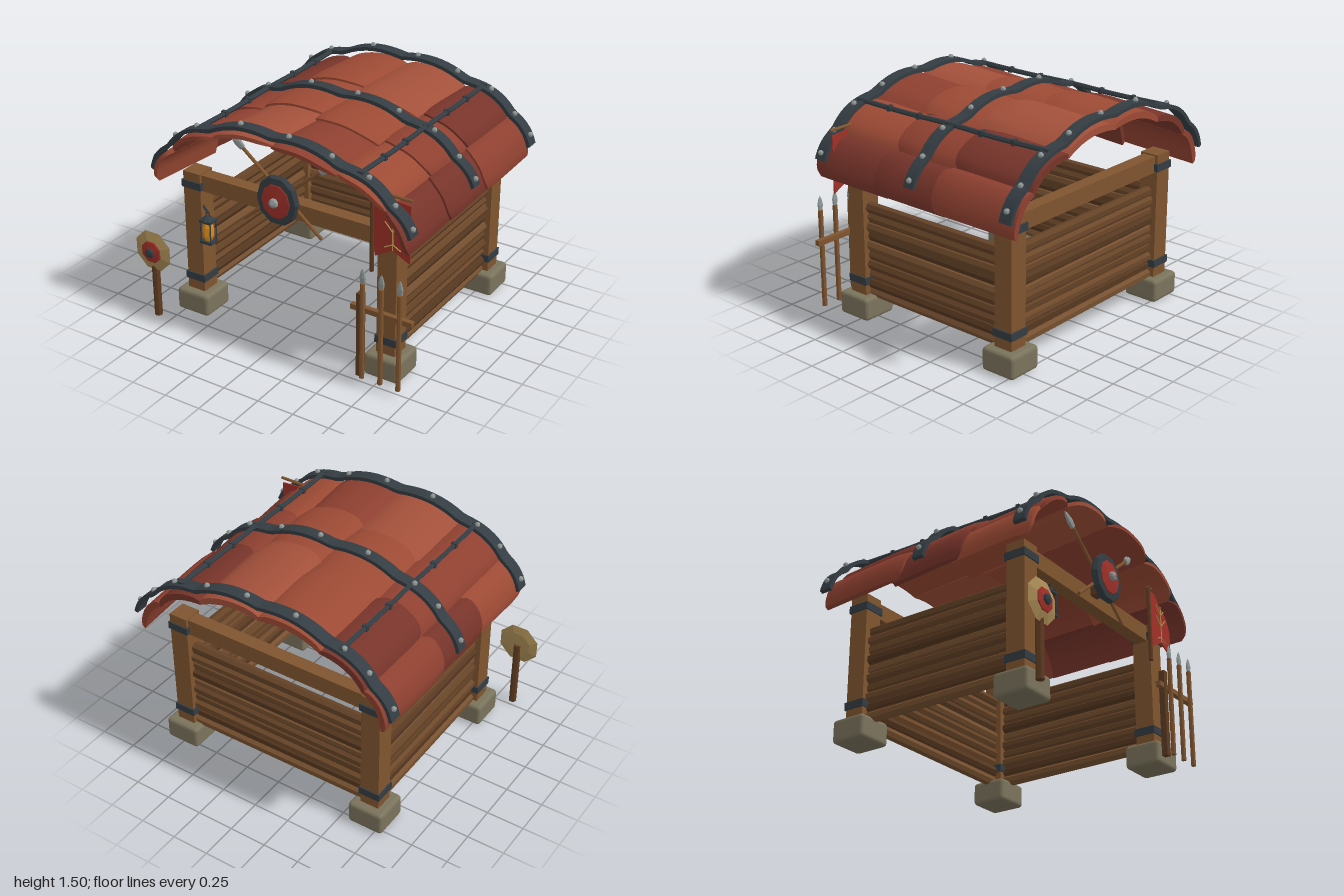
import * as THREE from 'three';
import { RoundedBoxGeometry } from 'three/addons/geometries/RoundedBoxGeometry.js';

const V = (x, y, z) => new THREE.Vector3(x, y, z);
const mat = (color, flat = true) => new THREE.MeshStandardMaterial({ color, flatShading: flat, side: THREE.DoubleSide });
const wood = mat(0x80552f), darkWood = mat(0x5e3c22), pale = mat(0xa88a55), iron = mat(0x343d43);
const stone = mat(0x7a735c), red = mat(0xa03028), steel = mat(0x8f9896), gold = mat(0xb99a50), glow = mat(0xe0901c);
const planks = [0x765030, 0x644226, 0x6d482a, 0x563820].map(c => mat(c));
const tiles = [0x8e4030, 0x77342a, 0x9c4a34, 0xa2503a].map(c => mat(c, false));

export function createModel() {
  const root = new THREE.Group();
  const add = (name, geo, m, x = 0, y = 0, z = 0, parent = root) => {
    const mesh = new THREE.Mesh(geo, m);
    mesh.name = name;
    mesh.position.set(x, y, z);
    parent.add(mesh);
    return mesh;
  };
  const group = name => {
    const g = new THREE.Group();
    g.name = name;
    root.add(g);
    return g;
  };
  const box = (w, h, d) => new THREE.BoxGeometry(w, h, d);
  // round bar between two points
  const rod = (name, a, b, r, m, parent = root, sides = 8) => {
    const mesh = add(name, new THREE.CylinderGeometry(r, r, a.distanceTo(b), sides), m, 0, 0, 0, parent);
    mesh.position.copy(a).lerp(b, 0.5);
    mesh.quaternion.setFromUnitVectors(V(0, 1, 0), b.clone().sub(a).normalize());
    return mesh;
  };
  // spear with a flattened leaf-shaped head
  const spear = (name, a, b, r, headLength, headWidth, parent) => {
    rod(name + 'Shaft', a, b, r, wood, parent);
    const profile = [[0, 0], [0.4, 0.04], [0.5, 0.4], [0.3, 0.75], [0, 1]]
      .map(p => new THREE.Vector2(p[0] * headWidth, p[1] * headLength));
    const head = add(name + 'Head', new THREE.LatheGeometry(profile, 8), steel, b.x, b.y, b.z, parent);
    head.quaternion.setFromUnitVectors(V(0, 1, 0), b.clone().sub(a).normalize());
    head.scale.z = 0.5;
  };
  // faceted disc turned to face the front
  const disc = (name, profile, sides, m, x, y, z, parent) => {
    const geo = new THREE.LatheGeometry(profile.map(p => new THREE.Vector2(p[0], p[1])), sides);
    geo.rotateY(Math.PI / sides).rotateX(Math.PI / 2);
    return add(name, geo, m, x, y, z, parent);
  };

  // posts on stone footings, with iron bands
  const xs = [-0.68, 0.75], zs = [0.55, -0.67];
  for (const x of xs) for (const z of zs) {
    add('footing', new RoundedBoxGeometry(0.245, 0.155, 0.245, 2, 0.025), stone, x, 0.0775, z);
    add('post', box(0.13, 0.86, 0.13), wood, x, 0.57, z);
    for (const y of [0.25, 0.915]) add('postBand', box(0.148, 0.05, 0.148), iron, x, y, z);
  }
  for (const z of zs) add('crossBeam', box(1.34, 0.11, 0.09), wood, 0.035, 0.935, z);

  // log walls on the left, right and back
  const rows = 10;
  const wall = (name, length, x, z, turn) => {
    const g = group(name);
    g.position.set(x, 0, z);
    g.rotation.y = turn;
    for (let i = 0; i < rows; i++) {
      const geo = new THREE.CylinderGeometry(0.037, 0.037, length, 7);
      geo.rotateX(0).rotateZ(Math.PI / 2).rotateX(i * 0.9);
      const log = add('log', geo, planks[(i * 3 + (i >> 2)) % 4], 0, 0.165 + i * 0.0645, (i % 2) * 0.012 - 0.006, g);
      log.rotation.z = ((i * 7) % 5 - 2) * 0.0025;
      add('logGapBoard', box(length, 0.035, 0.035), darkWood, 0, 0.165 + Math.min(i + 0.5, rows - 1) * 0.0645, 0, g);
    }
  };
  wall('backWall', 1.34, 0.035, zs[1], 0);
  wall('rightWall', 1.14, xs[0], -0.06, Math.PI / 2);
  wall('leftWall', 1.14, xs[1], -0.06, Math.PI / 2);

  // arched roof line, one control point per tile column edge
  const arch = new THREE.CatmullRomCurve3([[-0.885, 0.95], [-0.74, 1.19], [-0.43, 1.36], [0.02, 1.42],
    [0.47, 1.355], [0.8, 1.2], [0.965, 0.96]].map(p => V(p[0], p[1], 0)));
  const onArch = (t, off) => {
    t = Math.min(1, Math.max(0, t));
    const p = arch.getPoint(t), d = arch.getTangent(t);
    return V(p.x - d.y * off, p.y + d.x * off, 0);
  };
  const bulge = t => 0.027 * Math.abs(Math.sin(t * 6 * Math.PI));
  const bend = (geo, rule) => {
    const pos = geo.attributes.position;
    for (let i = 0; i < pos.count; i++) {
      const p = rule(pos.getX(i) + 0.5, pos.getY(i) - 0.5, pos.getZ(i) + 0.5);
      pos.setXYZ(i, p.x, p.y, p.z);
    }
    geo.computeVertexNormals();
    return geo;
  };

  // overlapping cushion-shaped tiles, three rows deep
  const roof = group('roof');
  const cuts = [[-0.26, -0.28, -0.33, -0.22, -0.3, -0.27], [0.2, 0.19, 0.16, 0.25, 0.17, 0.2]];
  const shade = [[0, 1, 2, 3, 1, 0], [1, 0, 2, 2, 0, 1], [2, 0, 3, 0, 2, 1]];
  for (let r = 0; r < 3; r++) for (let c = 0; c < 6; c++) {
    const z0 = r === 0 ? -0.86 : cuts[r - 1][c] - 0.04;
    const z1 = r === 2 ? 0.71 + (c === 3 ? 0.02 : 0) : cuts[r][c];
    add('roofTile', bend(new THREE.BoxGeometry(1, 1, 1, 10, 1, 8), (s, y, v) => {
      const arc = 1 - Math.pow(2 * s - 1, 4);
      const edge = 0.016 * (Math.pow(2 * s - 1, 8) + Math.pow(v, 10));
      const off = 0.027 * Math.sin(Math.PI * s) + (v - 0.6) * 0.035 - edge * (y + 1) + y * 0.042;
      const p = onArch((c + s * 1.02 - 0.01) / 6, off);
      p.z = z0 + (z1 + 0.045 * arc - z0) * v;
      return p;
    }), tiles[shade[r][c]], 0, 0, 0, roof);
  }

  // riveted iron straps across the roof
  const rivetSpots = [0.075, 0.2, 0.285, 0.415, 0.535, 0.64, 0.745, 0.84, 0.925];
  for (const [z, w, end] of [[-0.825, 0.085, 0.965], [-0.07, 0.08, 0.95], [0.69, 0.085, 0.95]]) {
    add('roofStrap', bend(new THREE.BoxGeometry(1, 1, 1, 60, 1, 1), (s, y, v) => {
      const t = 0.035 + s * (end - 0.035);
      const p = onArch(t, 0.04 + bulge(t) + y * 0.025);
      p.z = z + (v - 0.5) * w;
      return p;
    }), iron, 0, 0, 0, roof);
    for (const t of rivetSpots) {
      const p = onArch(t, 0.045 + bulge(t));
      add('rivet', new THREE.SphereGeometry(0.018, 8, 6), steel, p.x, p.y, z, roof);
    }
  }
  // long rods running front to back over the straps
  for (const [x, y] of [[-0.54, 1.355], [0.61, 1.355]]) {
    const line = new THREE.CatmullRomCurve3([-0.83, -0.45, -0.07, 0.3, 0.69]
      .map((z, i) => V(x, y + (i % 2 ? 0.012 : 0.018), z)));
    add('roofRod', new THREE.TubeGeometry(line, 24, 0.016, 6), iron, 0, 0, 0, roof);
    for (const z of [-0.83, -0.58, -0.33, -0.07, 0.18, 0.43, 0.69])
      add('rodJoint', box(0.036, 0.036, 0.025), iron, x, y + 0.014, z, roof);
  }

  // shield over crossed spears on the front beam
  const crest = group('shieldAndSpears');
  spear('crossedSpearA', V(0.31, 0.83, 0.64), V(-0.25, 1.29, 0.64), 0.011, 0.13, 0.06, crest);
  spear('crossedSpearB', V(-0.24, 0.83, 0.665), V(0.32, 1.29, 0.665), 0.011, 0.09, 0.06, crest);
  const sx = 0.035, sy = 1.04;
  disc('shieldRim', [[0, -0.02], [0.14, -0.02], [0.15, 0], [0.14, 0.025], [0.1, 0.03]], 10, iron, sx, sy, 0.69, crest).scale.y = 1.12;
  disc('shieldFace', [[0.108, 0.022], [0.1, 0.034], [0, 0.05]], 10, red, sx, sy, 0.69, crest).scale.y = 1.12;
  disc('shieldBoss', [[0.035, 0.03], [0.028, 0.065], [0, 0.08]], 8, steel, sx, sy, 0.69, crest);
  add('shieldMount', box(0.07, 0.07, 0.12), darkWood, sx, 0.97, 0.62, crest);

  // hanging banner with a branch pattern
  const banner = group('banner');
  const cloth = new THREE.Shape([[0.67, 1.24], [0.915, 1.22], [0.915, 0.84], [0.8, 0.9], [0.68, 0.83], [0.665, 1]]
    .map(p => new THREE.Vector2(...p)));
  add('bannerCloth', new THREE.ExtrudeGeometry(cloth, { depth: 0.008, bevelEnabled: false }), red, 0, 0, 0.63, banner);
  rod('bannerPole', V(0.658, 0.72, 0.635), V(0.658, 1.27, 0.635), 0.014, darkWood, banner);
  rod('bannerBar', V(0.64, 1.255, 0.635), V(0.925, 1.255, 0.635), 0.01, wood, banner);
  rod('branchStem', V(0.8, 0.9, 0.64), V(0.8, 1.2, 0.64), 0.004, gold, banner, 5);
  for (const y of [0.95, 1.03, 1.11]) for (const s of [-1, 1])
    rod('branchTwig', V(0.8, y - 0.01, 0.64), V(0.8 + s * 0.055, y + (y < 1 ? -0.04 : 0.05), 0.64), 0.004, gold, banner, 5);

  // spear rack at the front left corner
  const rack = group('spearRack');
  add('rackPost', box(0.04, 0.58, 0.04), darkWood, 0.64, 0.32, 0.725, rack);
  add('rackBar', box(0.42, 0.034, 0.034), wood, 0.785, 0.505, 0.725, rack);
  for (const x of [0.672, 0.8, 0.925]) spear('rackSpear', V(x, 0.04, 0.76), V(x, 0.7, 0.76), 0.016, 0.1, 0.045, rack);

  // practice target on a stake
  const target = group('target');
  rod('targetStake', V(-0.86, 0, 0.8), V(-0.86, 0.48, 0.8), 0.026, darkWood, target);
  disc('targetBoard', [[0, -0.018], [0.09, -0.012], [0.145, 0.005], [0.08, 0.026], [0, 0.03]], 8, pale, -0.86, 0.48, 0.81, target);
  disc('targetRing', [[0.082, 0.02], [0.075, 0.032], [0, 0.048]], 8, red, -0.86, 0.48, 0.81, target);
  disc('targetCentre', [[0.036, 0.036], [0.03, 0.054], [0, 0.062]], 8, iron, -0.86, 0.48, 0.81, target);

  // lantern on a bracket
  const lantern = group('lantern');
  lantern.position.set(-0.54, 0, 0.645);
  add('lanternGlass', new THREE.LatheGeometry([[0, 0.575], [0.024, 0.575], [0.034, 0.61], [0.034, 0.67], [0.024, 0.705], [0, 0.705]]
    .map(p => new THREE.Vector2(...p)), 8), glow, 0, 0, 0, lantern);
  for (const y of [0.568, 0.715]) add('lanternPlate', box(0.088, 0.018, 0.076), iron, 0, y, 0, lantern);
  add('lanternCap', new THREE.CylinderGeometry(0.014, 0.045, 0.025, 8), iron, 0, 0.735, 0, lantern);
  for (const x of [-0.037, 0.037]) for (const z of [-0.03, 0.03])
    rod('lanternBar', V(x, 0.565, z), V(x, 0.72, z), 0.005, iron, lantern, 5);
  add('lanternRing', new THREE.TorusGeometry(0.014, 0.004, 5, 10), iron, 0, 0.758, 0, lantern);
  rod('lanternBracket', V(-0.08, 0.772, -0.06), V(0.01, 0.772, 0.005), 0.008, iron, lantern, 6);
  return root;
}
